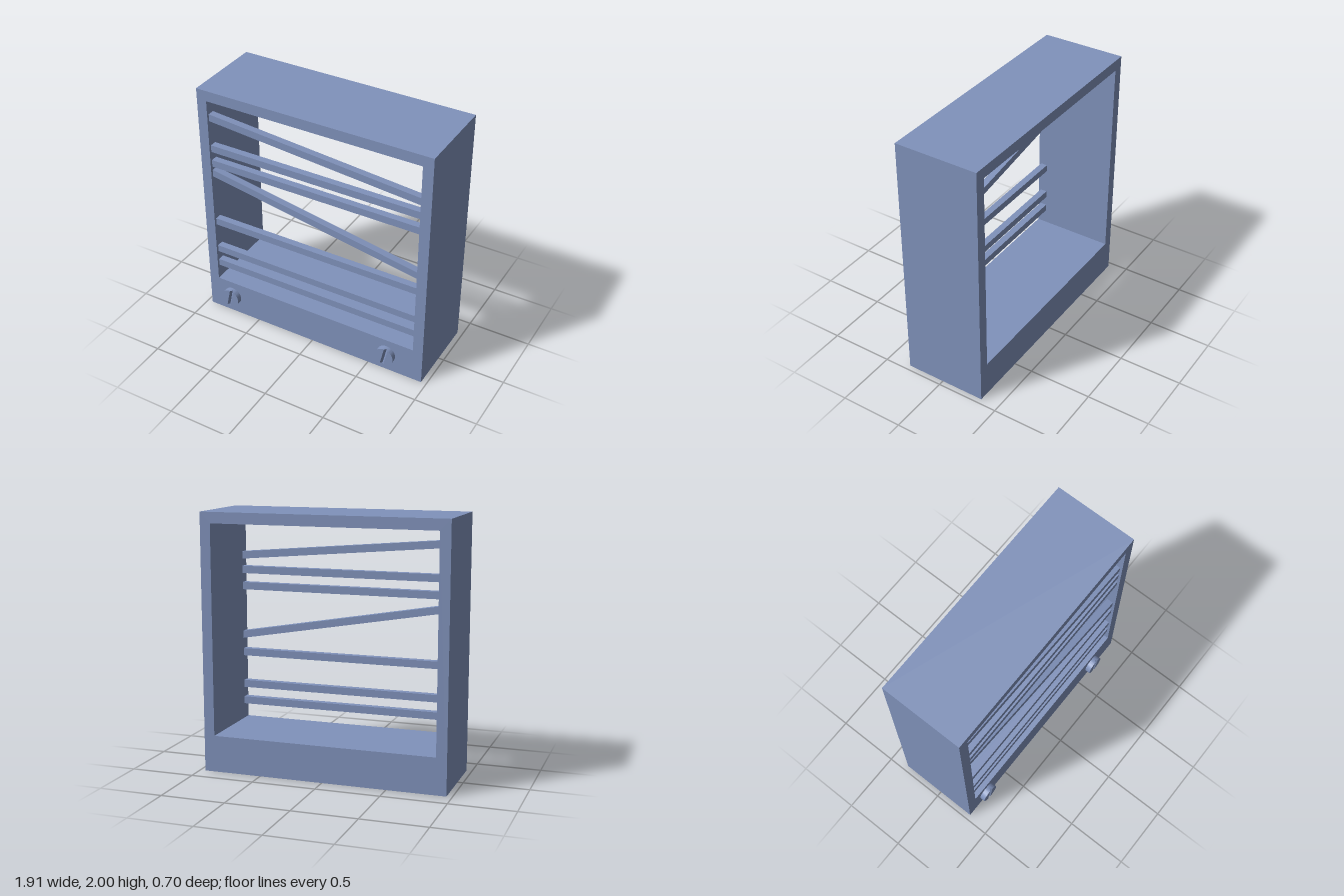
import * as THREE from 'three';
import { toCreasedNormals } from 'three/addons/utils/BufferGeometryUtils.js';

const W = 0.957, H = 2, FRONT = 0.31, BACK = -0.35;
const IN = 0.875, SILL = 0.285, LINTEL = 1.915;

const polygon = (points) => new THREE.Shape(points.map(([x, y]) => new THREE.Vector2(x, y)));

// Extrude a flat outline between two z planes
function slab(shape, z0, z1) {
  const g = new THREE.ExtrudeGeometry(shape, { depth: z1 - z0, bevelEnabled: false });
  return g.translate(0, 0, z0);
}

// Round screw head with a V-shaped slot, built as strips across the disc
function screwGeometry(radius, height, slotHalf, slotDepth) {
  const start = Math.asin(slotHalf / radius), steps = 12;
  const half = [];
  for (let i = 0; i <= steps; i++) {
    half.push(radius * Math.sin(start + (Math.PI / 2 - start) * i / steps));
  }
  const xs = [...half.map((x) => -x).reverse(), 0, ...half];
  const top = (x) => height - slotDepth * Math.max(0, 1 - Math.abs(x) / slotHalf);
  const rim = (x) => Math.sqrt(Math.max(0, radius * radius - x * x));
  const pos = [];
  const quad = (a, b, c, d) => pos.push(...a, ...b, ...c, ...a, ...c, ...d);
  for (let i = 0; i < xs.length - 1; i++) {
    const a = xs[i], b = xs[i + 1], ya = rim(a), yb = rim(b), za = top(a), zb = top(b);
    quad([a, -ya, za], [b, -yb, zb], [b, yb, zb], [a, ya, za]);
    quad([a, -ya, 0], [b, -yb, 0], [b, -yb, zb], [a, -ya, za]);
    quad([b, yb, 0], [a, ya, 0], [a, ya, za], [b, yb, zb]);
  }
  const g = new THREE.BufferGeometry();
  g.setAttribute('position', new THREE.Float32BufferAttribute(pos, 3));
  return toCreasedNormals(g, 0.45);
}

export function createModel() {
  const model = new THREE.Group();
  model.name = 'slattedFrame';
  const blue = new THREE.MeshStandardMaterial({ color: 0x8092bb });
  blue.name = 'slate blue';
  const add = (name, geometry) => {
    const mesh = new THREE.Mesh(geometry, blue);
    mesh.name = name;
    model.add(mesh);
    return mesh;
  };

  // Deep rectangular frame, open front to back
  const outline = polygon([[-W, 0], [W, 0], [W, H], [-W, H]]);
  outline.holes.push(polygon([[-IN, SILL], [-IN, LINTEL], [IN, LINTEL], [IN, SILL]]));
  add('frame', slab(outline, BACK, FRONT));

  // Slats: centre height at the -x end and at the +x end
  const slats = [
    [1.767, 1.615], [1.5, 1.5], [1.37, 1.37], [1.282, 0.975],
    [0.832, 0.832], [0.57, 0.57], [0.433, 0.433],
  ];
  const t = 0.029;
  slats.forEach(([l, r], i) => {
    const shape = polygon([[-IN, l - t], [IN, r - t], [IN, r + t], [-IN, l + t]]);
    add(`slat${i + 1}`, slab(shape, 0.235, 0.29));
  });

  // Two slotted screw heads on the lower rail
  const screw = screwGeometry(0.076, 0.043, 0.015, 0.018);
  [['rightScrew', -0.744], ['leftScrew', 0.655]].forEach(([name, x]) => {
    const mesh = add(name, screw);
    mesh.position.set(x, 0.152, FRONT);
    mesh.rotation.z = -0.21;
  });

  // Centre the depth
  model.children.forEach((m) => { m.position.z -= 0.0015; });
  return model;
}
